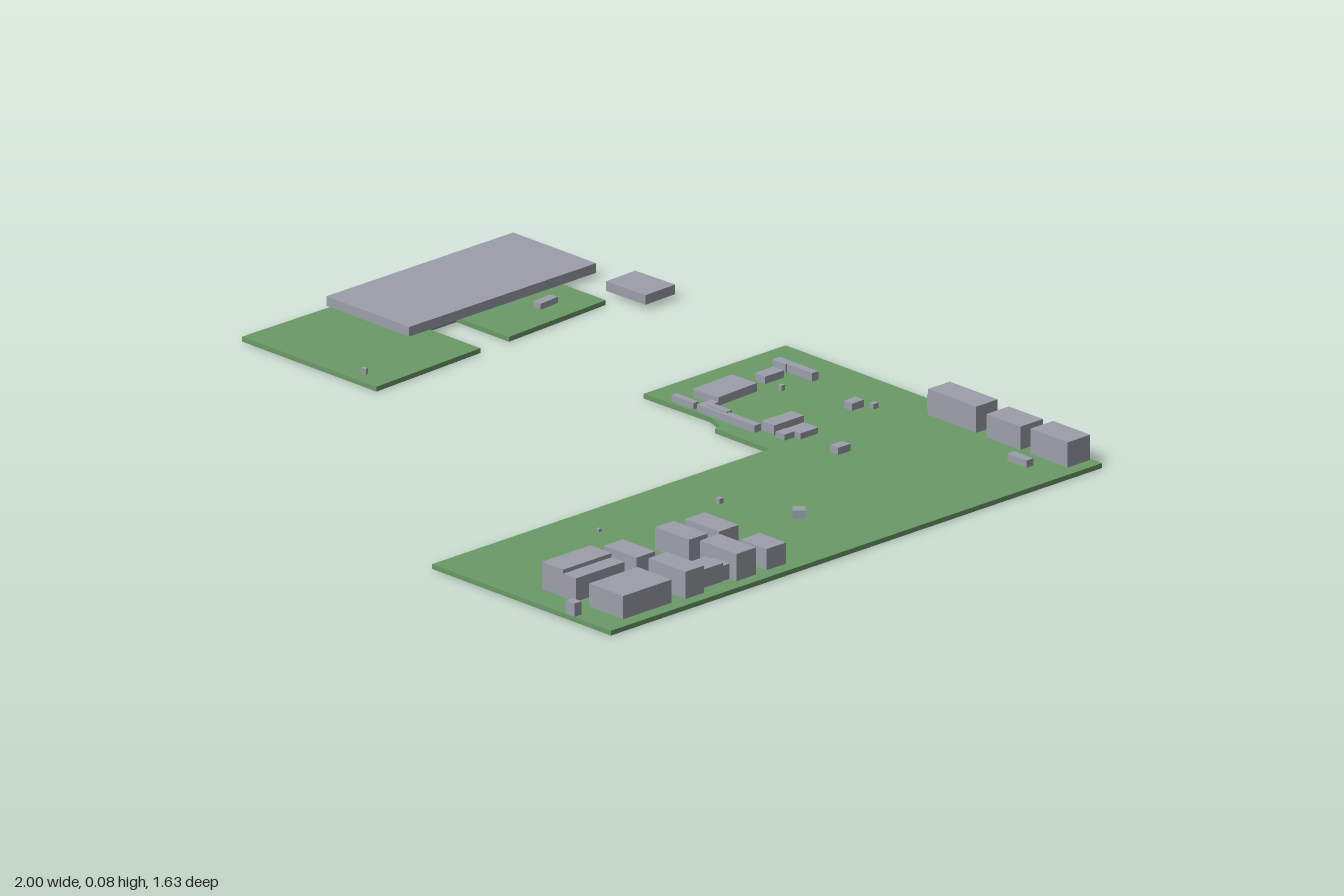
import * as THREE from 'three';

const BOARD = 0.012; // thickness of the ground slabs

export function createModel() {
  const model = new THREE.Group();
  model.name = 'sitePlan';
  const green = new THREE.MeshStandardMaterial({ name: 'groundGreen', color: 0x6b9a67 });
  const grey = new THREE.MeshStandardMaterial({ name: 'blockGrey', color: 0x9c9faa, side: THREE.DoubleSide });

  // Flat slab from an outline of [x, z] points
  function slab(name, outline) {
    const shape = new THREE.Shape(outline.map(([x, z]) => new THREE.Vector2(x, -z)));
    const geo = new THREE.ExtrudeGeometry(shape, { depth: BOARD, bevelEnabled: false });
    geo.rotateX(-Math.PI / 2);
    const mesh = new THREE.Mesh(geo, green);
    mesh.name = name;
    model.add(mesh);
  }

  // Hollow block without a floor, from x and z ranges, top height and turn
  function block(group, [x0, x1, z0, z1, top, turn = 0]) {
    const h = top - BOARD;
    const geo = new THREE.BoxGeometry(x1 - x0, h, z1 - z0);
    const index = Array.from(geo.index.array);
    index.splice(18, 6); // drop the underside
    geo.setIndex(index);
    geo.clearGroups();
    const mesh = new THREE.Mesh(geo, grey);
    mesh.position.set((x0 + x1) / 2, BOARD + h / 2, (z0 + z1) / 2);
    mesh.rotation.y = turn;
    mesh.name = group.name + 'Block' + (group.children.length + 1);
    group.add(mesh);
  }

  function cluster(name, rows) {
    const group = new THREE.Group();
    group.name = name;
    rows.forEach((row) => block(group, row));
    model.add(group);
  }

  // Ground
  slab('mainGround', [
    [-0.07, -0.775], [1, -0.775], [1, 0.815], [0.395, 0.815], [0.395, -0.278],
    [0.21, -0.278], [0.205, -0.3], [0.15, -0.32], [-0.07, -0.315],
  ]);
  slab('sideGround', [
    [-0.99, 0.105], [-0.535, 0.105], [-0.55, -0.246], [-0.735, -0.246],
    [-0.735, -0.345], [-0.557, -0.345], [-0.575, -0.675], [-0.985, -0.675],
  ]);

  // Large hall, detached block and small sheds on the side ground
  cluster('sideBuildings', [
    [-1, -0.72, -0.783, -0.178, 0.036],
    [-0.62, -0.49, -0.818, -0.72, 0.036, 0.03],
    [-0.661, -0.637, -0.582, -0.52, 0.027, 0.1],
    [-0.622, -0.61, 0.06, 0.072, 0.027, 0.5],
  ]);

  // Row along the back edge
  cluster('backRow', [
    [0.465, 0.49, -0.765, -0.72, 0.05],
    [0.49, 0.652, -0.77, -0.7, 0.077],
    [0.69, 0.805, -0.77, -0.697, 0.07],
    [0.84, 0.965, -0.77, -0.697, 0.075],
    [0.835, 0.9, -0.648, -0.626, 0.03],
  ]);

  // Tall blocks at the front
  cluster('frontBlocks', [
    [0.69, 0.805, 0.215, 0.278, 0.065],
    [0.877, 0.965, 0.215, 0.278, 0.065],
    [0.69, 0.805, 0.315, 0.375, 0.07],
    [0.845, 0.968, 0.315, 0.378, 0.08],
    [0.89, 0.945, 0.378, 0.402, 0.05],
    [0.887, 0.947, 0.402, 0.485, 0.058],
    [0.695, 0.805, 0.485, 0.545, 0.07],
    [0.845, 0.97, 0.485, 0.545, 0.08],
    [0.69, 0.762, 0.585, 0.742, 0.08],
    [0.762, 0.805, 0.585, 0.742, 0.07],
    [0.85, 0.965, 0.585, 0.742, 0.07],
    [0.845, 0.875, 0.79, 0.813, 0.045],
  ]);

  // Low buildings in the back corner
  cluster('lowBuildings', [
    [0.015, 0.06, -0.675, -0.65, 0.033],
    [0.06, 0.145, -0.675, -0.655, 0.033],
    [0.045, 0.08, -0.625, -0.565, 0.03],
    [0.128, 0.14, -0.572, -0.56, 0.025],
    [0.32, 0.348, -0.628, -0.59, 0.03],
    [0.362, 0.376, -0.648, -0.632, 0.025],
    [0.023, 0.105, -0.516, -0.384, 0.033, 0.05],
    [0.295, 0.337, -0.445, -0.348, 0.036],
    [0.352, 0.4, -0.43, -0.373, 0.027],
    [0.35, 0.38, -0.373, -0.34, 0.027],
    [0.01, 0.085, -0.345, -0.328, 0.028],
    [0.1, 0.125, -0.37, -0.345, 0.03],
    [0.125, 0.19, -0.352, -0.335, 0.033],
    [0.1, 0.295, -0.345, -0.325, 0.03],
  ]);

  // Scattered small sheds
  cluster('sheds', [
    [0.508, 0.535, -0.405, -0.365, 0.03],
    [0.748, 0.778, -0.036, -0.006, 0.033, Math.PI / 4],
    [0.562, 0.576, 0.045, 0.057, 0.025],
    [0.506, 0.514, 0.381, 0.389, 0.02],
  ]);

  return model;
}
